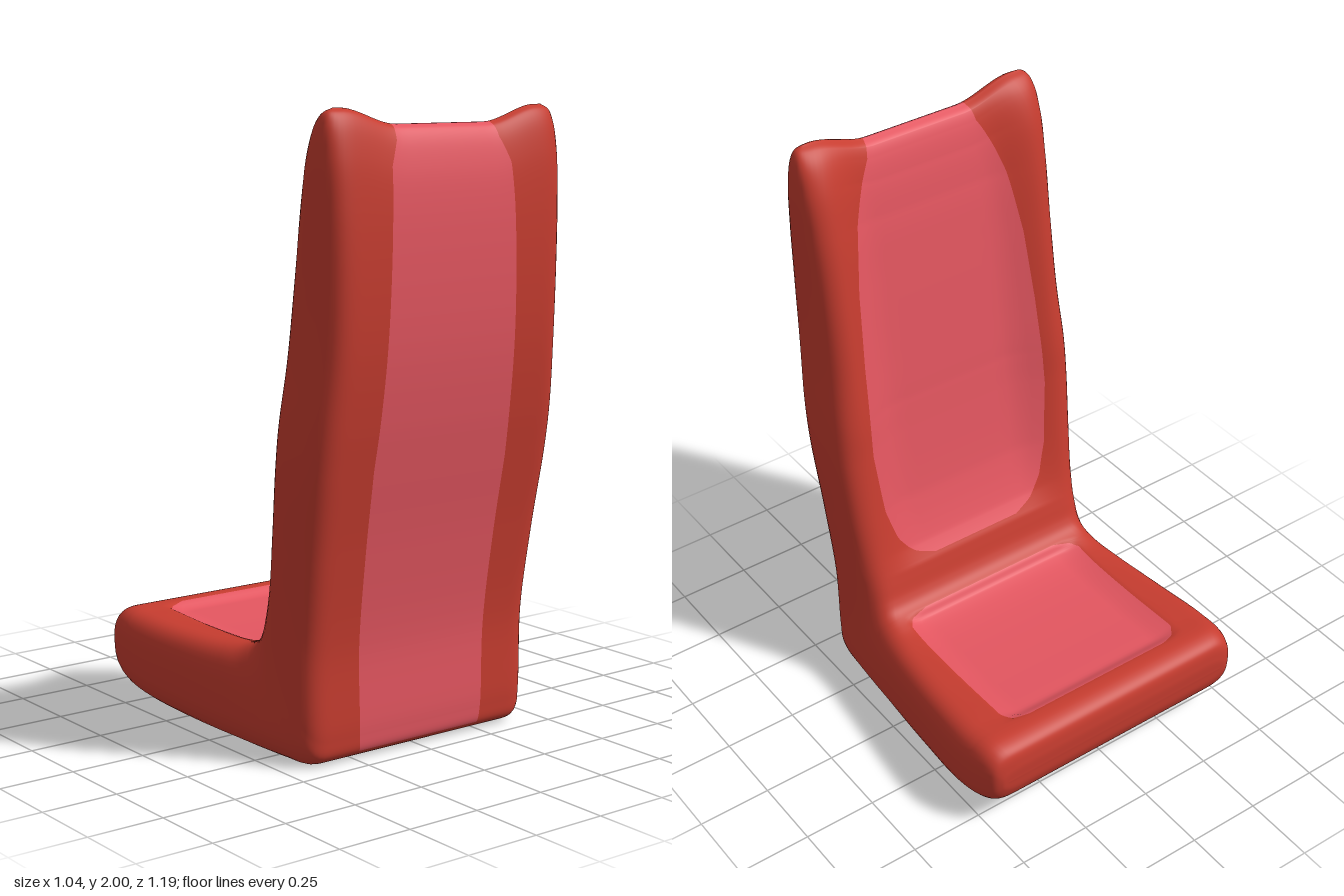
import * as THREE from 'three';

// Stations from cushion nose, along the cushion, up the backrest to its top:
// [inner z, inner y, outer z, outer y, half width]
const STATIONS = [
  [-0.592, 0.2, -0.592, 0.2, 0.44], [-0.59, 0.25, -0.588, 0.15, 0.468],
  [-0.575, 0.3, -0.565, 0.105, 0.495], [-0.53, 0.323, -0.51, 0.073, 0.512],
  [-0.42, 0.32, -0.4, 0.048, 0.52], [-0.2, 0.311, -0.2, 0.024, 0.505],
  [0, 0.313, 0.08, 0.008, 0.482], [0.08, 0.325, 0.3, 0.004, 0.468],
  [0.14, 0.352, 0.405, 0.007, 0.46], [0.165, 0.385, 0.44, 0.03, 0.457],
  [0.185, 0.44, 0.45, 0.09, 0.455], [0.215, 0.54, 0.452, 0.36, 0.456],
  [0.245, 0.7, 0.49, 0.66, 0.466], [0.275, 0.92, 0.535, 0.92, 0.476],
  [0.287, 1.05, 0.56, 1.07, 0.473], [0.315, 1.25, 0.585, 1.28, 0.46],
  [0.35, 1.5, 0.595, 1.5, 0.455], [0.385, 1.72, 0.592, 1.72, 0.455],
  [0.42, 1.87, 0.58, 1.86, 0.454], [0.455, 1.95, 0.56, 1.95, 0.446],
  [0.485, 1.985, 0.542, 1.985, 0.432], [0.515, 2, 0.52, 2, 0.405],
];

// Half width of the panels by station, on the seating side and the rear side
const INNER_PANEL = [[0, 0.25], [3.5, 0.28], [3.65, 0.33], [3.95, 0.357], [7, 0.355], [7.4, 0.335], [7.667, 0.27],
  [10.5, 0.17], [10.8, 0.24], [11.3, 0.295], [12, 0.33], [13, 0.35], [14, 0.347], [15, 0.338], [16, 0.32],
  [17, 0.285], [18, 0.24], [19, 0.205], [21, 0.19]];
const OUTER_PANEL = [[0, 0.25], [9, 0.24], [13, 0.262], [16, 0.245], [18, 0.232], [19, 0.2], [21, 0.19]];
// Depth of the hollow between the backrest bolsters
const HOLLOW = [[10.3, 0], [11, 0.02], [12, 0.04], [14, 0.055], [17, 0.045], [18, 0.032], [19, 0.015], [20, 0]];

const SUB = 12;                          // rows per station
const ROWS = (STATIONS.length - 1) * SUB;
const EDGE = 14, MID = 16;               // columns beside and across a panel
const HALF = EDGE * 2 + MID, RING = HALF * 2;
const step = THREE.MathUtils.smoothstep;

function lookup(keys, v) {
  if (v <= keys[0][0]) return keys[0][1];
  for (let i = 1; i < keys.length; i++) {
    const [a, p] = keys[i - 1], [b, q] = keys[i];
    if (v <= b) return p + (q - p) * (v - a) / (b - a);
  }
  return keys[keys.length - 1][1];
}

// x of column j (0..HALF, from +w to -w); panel borders fall exactly on columns
function columnX(j, w, p) {
  if (j > HALF / 2) return -columnX(HALF - j, w, p);
  if (j >= EDGE) return p * (1 - 2 * (j - EDGE) / MID);
  return p + (w - p) * Math.cos(j / EDGE * Math.PI / 2);
}

function buildSurface() {
  const inner = new THREE.CatmullRomCurve3(STATIONS.map(s => new THREE.Vector3(s[4], s[1], s[0])));
  const outer = new THREE.CatmullRomCurve3(STATIONS.map(s => new THREE.Vector3(s[4], s[3], s[2])));
  const positions = [];
  for (let r = 0; r <= ROWS; r++) {
    const v = r / SUB, a = inner.getPoint(r / ROWS), b = outer.getPoint(r / ROWS);
    const across = b.clone().sub(a), dir = across.clone().normalize();
    for (let k = 0; k < RING; k++) {
      const seating = k <= HALF;
      const w = a.x, p = lookup(seating ? INNER_PANEL : OUTER_PANEL, v);
      const x = columnX(seating ? k : RING - k, w, p), ax = Math.abs(x);
      // rounded long edges
      const q = Math.min(1, Math.max(0, (ax - w + 0.1) / 0.1));
      const f = Math.cbrt(1 - q ** 3);
      const pos = a.clone().addScaledVector(across, seating ? (1 - f) / 2 : (1 + f) / 2);
      if (seating) {
        const back = lookup(HOLLOW, v) * (1 - step(ax, 0.22, 0.4));
        const cushion = 0.02 * (1 - step(ax, 0.31, 0.365)) * step(v, 3.45, 3.9) * (1 - step(v, 7.1, 7.7));
        pos.addScaledVector(dir, back + cushion);
      }
      // dip between the two top corners
      const dip = 0.05 * step(pos.y, 1.6, 1.98) * (1 - step(ax, 0.17, 0.38));
      positions.push(x, pos.y - dip, pos.z);
    }
  }
  return positions;
}

export function createModel() {
  const group = new THREE.Group();
  group.name = 'seat';

  // both ends close by sharing the seating side's vertices
  const id = (r, k) => {
    k %= RING;
    if ((r === 0 || r === ROWS) && k > HALF) k = RING - k;
    return r * RING + k;
  };
  const faces = { shell: [], cushionPanel: [], backrestPanel: [] };
  const partAt = (r, k) => {
    const j = k % HALF;
    if (j < EDGE || j >= EDGE + MID) return 'shell';
    if (k >= HALF) return r >= 9 * SUB ? 'backrestPanel' : 'shell';
    if (r >= 10.5 * SUB) return 'backrestPanel';
    return r >= 42 && r < 92 ? 'cushionPanel' : 'shell';
  };
  for (let r = 0; r < ROWS; r++) {
    for (let k = 0; k < RING; k++) {
      const a = id(r, k), b = id(r, k + 1), c = id(r + 1, k), d = id(r + 1, k + 1);
      const list = faces[partAt(r, k)];
      if (a !== b) list.push(a, b, c);
      if (c !== d) list.push(b, d, c);
    }
  }

  // normals come from the whole surface so that the parts meet without a seam
  const whole = new THREE.BufferGeometry();
  whole.setAttribute('position', new THREE.Float32BufferAttribute(buildSurface(), 3));
  whole.setIndex(Object.values(faces).flat());
  whole.computeVertexNormals();

  const shellMaterial = new THREE.MeshStandardMaterial({ color: 0xc63c2f });
  const panelMaterial = new THREE.MeshStandardMaterial({ color: 0xe45660 });
  for (const [name, index] of Object.entries(faces)) {
    const geometry = new THREE.BufferGeometry();
    geometry.setAttribute('position', whole.getAttribute('position'));
    geometry.setAttribute('normal', whole.getAttribute('normal'));
    geometry.setIndex(index);
    const mesh = new THREE.Mesh(geometry, name === 'shell' ? shellMaterial : panelMaterial);
    mesh.name = name;
    group.add(mesh);
  }
  return group;
}
